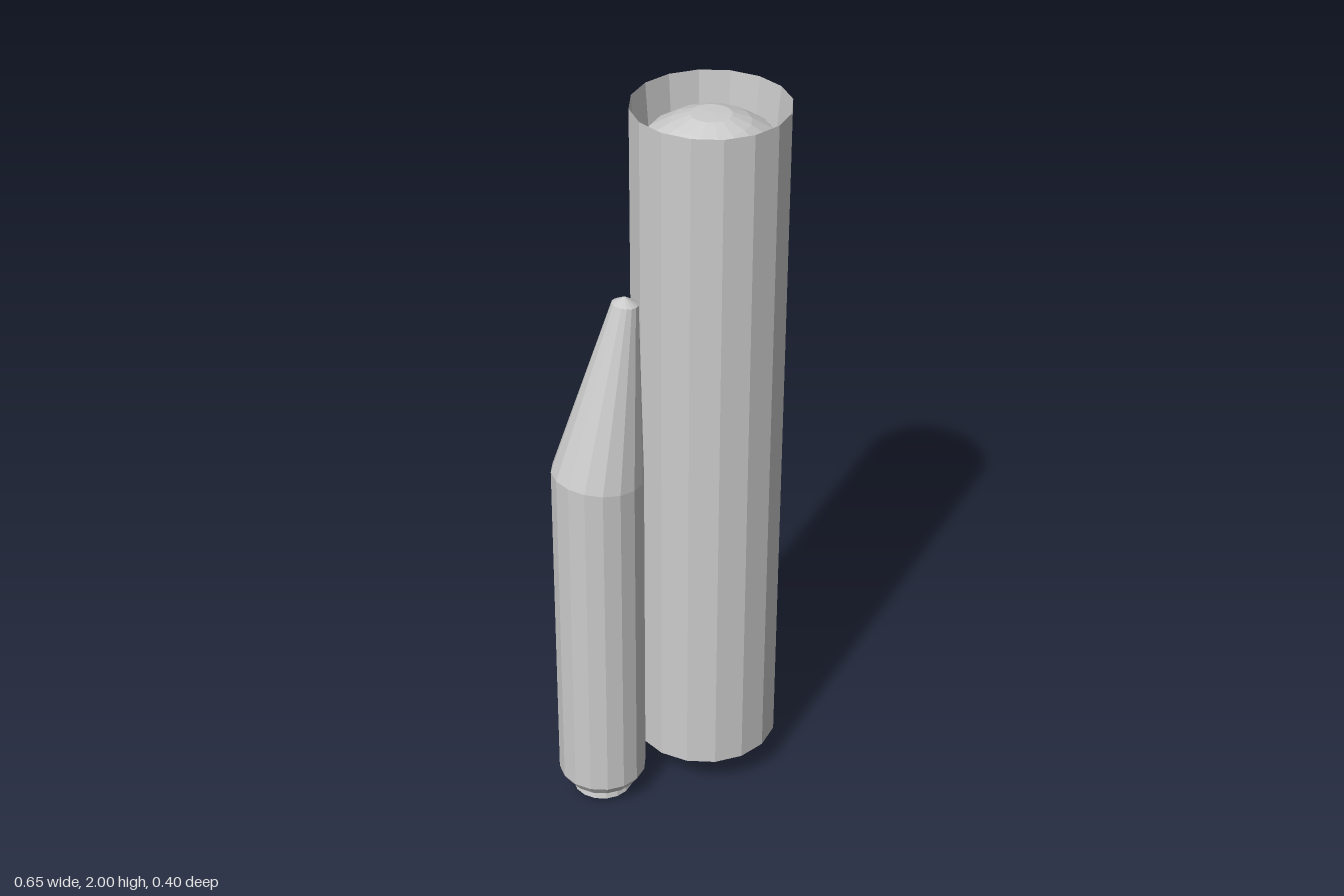
import * as THREE from 'three';

const SIDES = 16;
const material = new THREE.MeshStandardMaterial({
  color: 0xcccccc, flatShading: true, side: THREE.DoubleSide,
});

// Faceted turned part from [radius, height] pairs listed from bottom to top
function turned(name, profile) {
  const points = profile.map(([r, y]) => new THREE.Vector2(r, y));
  const mesh = new THREE.Mesh(new THREE.LatheGeometry(points, SIDES), material);
  mesh.name = name;
  return mesh;
}

// Leans everything above the shoulder sideways, with slanted rings
function leanNose(geometry, shoulder, tip, offset, slant) {
  const p = geometry.attributes.position;
  for (let i = 0; i < p.count; i++) {
    const x = p.getX(i), y = p.getY(i);
    if (y < shoulder) continue;
    const t = Math.min(1, (y - shoulder) / (tip - shoulder));
    p.setXY(i, x + offset * t, y - slant * x);
  }
  geometry.computeVertexNormals();
}

export function createModel() {
  const model = new THREE.Group();
  model.name = 'rocketStage';

  // Core stage: recessed base, straight hull, open rim with a tank dome inside
  const core = new THREE.Group();
  core.name = 'coreStage';
  core.position.x = 0.125;
  core.add(
    turned('coreHull', [[0, 0.13], [0.05, 0.13], [0.11, 0.105], [0.2, 0.105], [0.2, 2]]),
    turned('rimLining', [[0.2, 2], [0.19, 1.88]]),
    turned('tankDome', [[0.19, 1.88], [0.153, 1.925], [0.1, 1.957], [0.052, 1.975], [0, 1.977]]),
    turned('coreNozzle', [[0.075, 0], [0.068, 0.05], [0.055, 0.1], [0.045, 0.13]]),
  );

  // Side booster: bevelled foot, straight body and a nose leaning to the core
  const booster = new THREE.Group();
  booster.name = 'sideBooster';
  booster.position.x = -0.205;
  const shell = turned('boosterHull', [
    [0, 0.05], [0.1, 0.05], [0.12, 0.08], [0.12, 1.045], [0.034, 1.52], [0, 1.54],
  ]);
  leanNose(shell.geometry, 1.04, 1.52, 0.087, 0.13);
  booster.add(shell, turned('boosterNozzle', [[0.082, 0.015], [0.075, 0.05]]));

  model.add(core, booster);
  return model;
}
